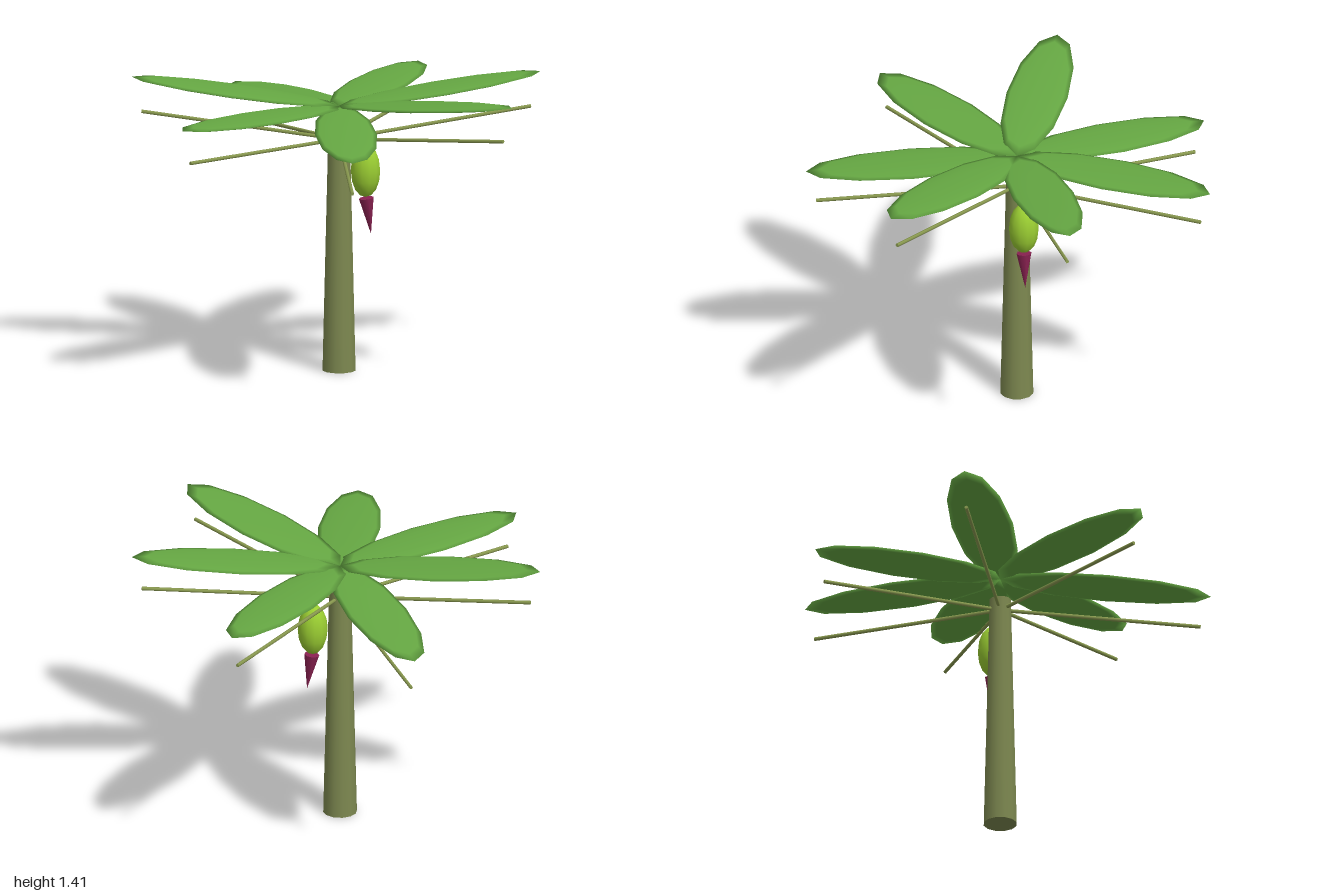
import * as THREE from 'three';

const TRUNK_X = -0.05;
const LEAF_COUNT = 7;
const TILTS = [0.108, 0.02, -0.067]; // raised, level and drooping leaves in turn

const material = (color) => new THREE.MeshStandardMaterial({ color });

function addPart(parent, name, geometry, mat, x = 0, y = 0, z = 0) {
  const mesh = new THREE.Mesh(geometry, mat);
  mesh.name = name;
  mesh.position.set(x, y, z);
  parent.add(mesh);
  return mesh;
}

export function createModel() {
  const model = new THREE.Group();
  model.name = 'bananaPlant';

  const trunkMat = material(0x7d8850);
  const stalkMat = material(0x8a9a50);
  const leafMat = material(0x66a843);
  const fruitMat = material(0x9acd32);
  const budMat = material(0x8b2252);

  // Tapered trunk
  addPart(model, 'trunk', new THREE.CylinderGeometry(0.053, 0.082, 1.19, 12), trunkMat, TRUNK_X, 0.595, 0);

  // Flattened ellipsoid blade and thin stalk, both starting at the trunk axis and running along +x
  const leafGeo = new THREE.SphereGeometry(1, 12, 6).scale(0.51, 0.014, 0.15).translate(0.51, 0, 0);
  const stalkGeo = new THREE.CylinderGeometry(0.009, 0.009, 0.97, 6).rotateZ(-Math.PI / 2).translate(0.485, 0, 0);

  // Crown of leaves
  for (let i = 0; i < LEAF_COUNT; i++) {
    const frond = new THREE.Group();
    frond.name = 'frond';
    frond.position.x = TRUNK_X;
    frond.rotation.y = (i / LEAF_COUNT) * Math.PI * 2;
    const tilt = TILTS[i % TILTS.length];
    addPart(frond, 'leafBlade', leafGeo, leafMat, 0, 1.302, 0).rotation.z = tilt;
    addPart(frond, 'leafStalk', stalkGeo, stalkMat, 0, 1.138, 0).rotation.z = tilt;
    model.add(frond);
  }

  // Fruit bunch with a slightly tilted flower bud beneath
  addPart(model, 'fruitBunch', new THREE.SphereGeometry(1, 12, 8).scale(0.073, 0.13, 0.073), fruitMat, 0.083, 0.975, 0);
  const bud = addPart(model, 'flowerBud', new THREE.ConeGeometry(0.037, 0.18, 8), budMat, 0.099, 0.75, 0);
  bud.rotation.z = Math.PI + 0.13;

  return model;
}
